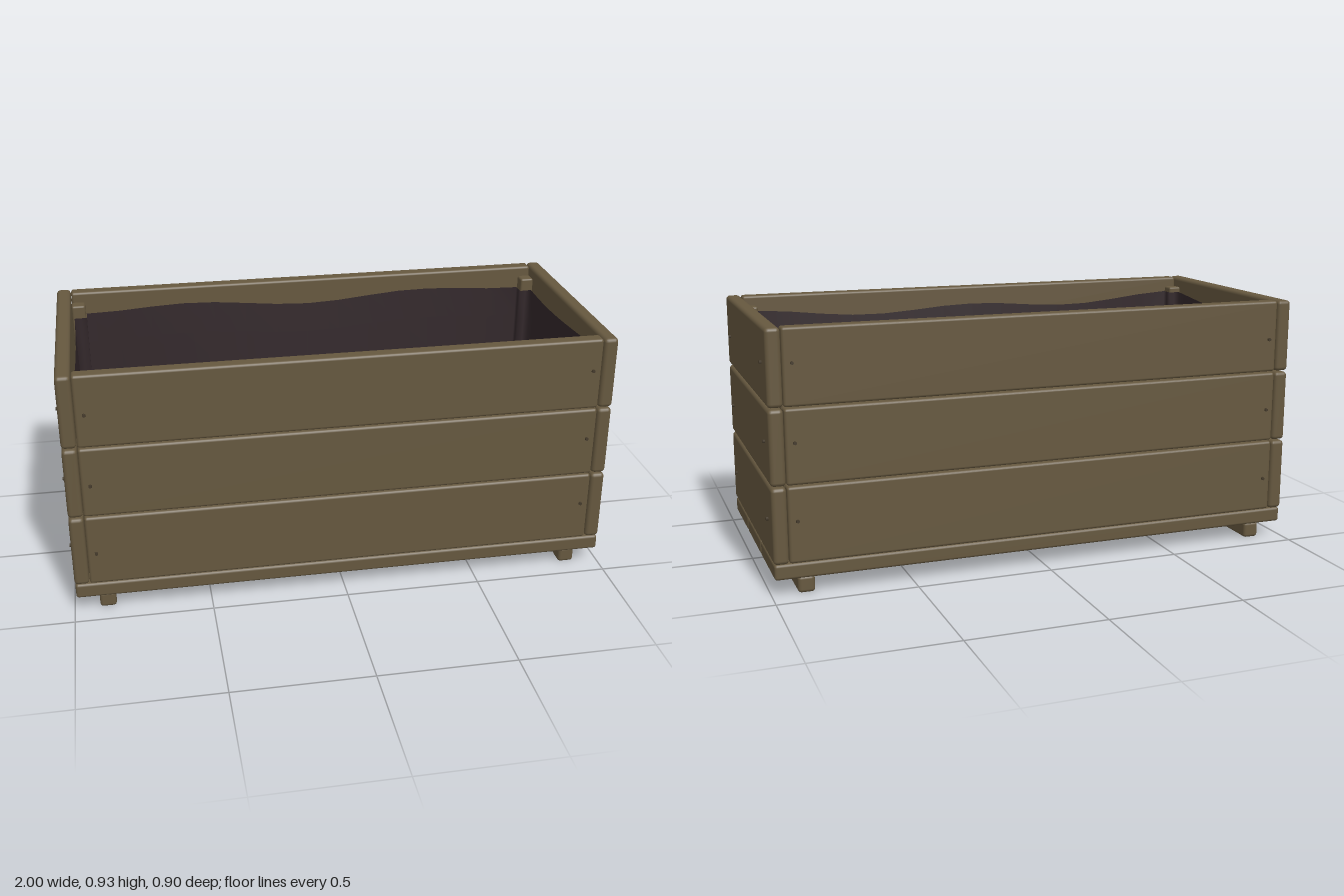
import * as THREE from 'three';
import { RoundedBoxGeometry } from 'three/addons/geometries/RoundedBoxGeometry.js';

export function createModel() {
  const group = new THREE.Group();
  const wood = new THREE.MeshStandardMaterial({ color: 0x66583f });
  wood.name = 'wood';
  const lining = new THREE.MeshStandardMaterial({ color: 0x32272a, side: THREE.DoubleSide });
  lining.name = 'lining';
  const metal = new THREE.MeshStandardMaterial({ color: 0x453b2c });
  metal.name = 'metal';

  // A plank given by its limits on each axis
  function plank(name, [x0, x1], [y0, y1], [z0, z1], radius = 0.01) {
    const geo = new RoundedBoxGeometry(x1 - x0, y1 - y0, z1 - z0, 2, radius);
    const mesh = new THREE.Mesh(geo, wood);
    mesh.name = name;
    mesh.position.set((x0 + x1) / 2, (y0 + y1) / 2, (z0 + z1) / 2);
    group.add(mesh);
  }

  // Small screw head, its axis along x or z
  const screwGeo = new THREE.CylinderGeometry(0.006, 0.007, 0.014, 6);
  function screw(x, y, z, axis) {
    const mesh = new THREE.Mesh(screwGeo, metal);
    mesh.name = 'screw';
    mesh.position.set(x, y, z);
    if (axis === 'x') mesh.rotation.z = -Math.sign(x) * Math.PI / 2;
    else mesh.rotation.x = Math.sign(z) * Math.PI / 2;
    group.add(mesh);
  }

  // Three courses of wall planks with their screws
  for (const [y0, y1] of [[0.117, 0.388], [0.393, 0.658], [0.663, 0.932]]) {
    const mid = (y0 + y1) / 2;
    plank('frontPlank', [-0.937, 0.937], [y0, y1], [0.388, 0.441]);
    plank('backPlank', [-0.937, 0.937], [y0, y1], [-0.441, -0.388]);
    plank('leftEndPlank', [0.939, 0.992], [y0, y1], [-0.444, 0.444], 0.014);
    plank('rightEndPlank', [-0.992, -0.939], [y0, y1], [-0.444, 0.444], 0.014);
    for (const sx of [-1, 1]) {
      for (const sz of [-1, 1]) {
        screw(sx * 0.993, mid + (sz > 0 ? -0.015 : 0.01), sz * 0.36, 'x');
        screw(sx * 0.905, mid + (sx > 0 ? 0.015 : -0.01), sz * 0.442, 'z');
      }
    }
  }

  // Floor planks, runners beneath and corner posts inside
  for (const [z0, z1] of [[-0.437, -0.151], [-0.139, 0.145], [0.157, 0.441]])
    plank('floorPlank', [-0.99, 0.99], [0.06, 0.116], [z0, z1]);
  for (const s of [-1, 1]) {
    plank('runner', [s * 0.878 - 0.03, s * 0.878 + 0.03], [0, 0.061], [-0.421, 0.421], 0.012);
    for (const t of [-1, 1])
      plank('cornerPost', [s * 0.912 - 0.026, s * 0.912 + 0.026], [0.11, 0.895],
        [t * 0.362 - 0.026, t * 0.362 + 0.026], 0.008);
  }

  // Draped lining: outline steps around the posts, sides sag inwards
  const X = 0.93, Z = 0.382, px = 0.883, pz = 0.333;
  const corners = [
    [X, pz], [px, pz], [px, Z], [-px, Z], [-px, pz], [-X, pz],
    [-X, -pz], [-px, -pz], [-px, -Z], [px, -Z], [px, -pz], [X, -pz],
  ];
  const outline = [];
  corners.forEach(([ax, az], i) => {
    const [bx, bz] = corners[(i + 1) % corners.length];
    const steps = i % 3 === 2 ? 14 : 2;
    for (let k = 0; k < steps; k++) {
      const t = k / steps;
      outline.push({ x: ax + (bx - ax) * t, z: az + (bz - az) * t,
        sag: steps > 2 ? Math.sin(Math.PI * t) : 0, alongX: Math.abs(bx - ax) > Math.abs(bz - az) });
    }
  });
  const n = outline.length, rings = 6, pos = [], index = [];
  for (let r = 0; r <= rings; r++) {
    const v = r / rings;
    outline.forEach((p) => {
      const top = 0.86 + 0.014 * Math.sin(p.x * 7 + p.z * 4) - 0.012 * p.sag;
      const sag = p.sag * (0.004 + 0.03 * (1 - v));
      pos.push(p.x - (p.alongX ? 0 : Math.sign(p.x) * sag), 0.122 + (top - 0.122) * v,
        p.z - (p.alongX ? Math.sign(p.z) * sag : 0));
    });
  }
  for (let r = 0; r < rings; r++) {
    for (let i = 0; i < n; i++) {
      const a = r * n + i, b = r * n + (i + 1) % n;
      index.push(a, b, a + n, b, b + n, a + n);
    }
  }
  const wallGeo = new THREE.BufferGeometry();
  wallGeo.setAttribute('position', new THREE.Float32BufferAttribute(pos, 3));
  wallGeo.setIndex(index);
  wallGeo.computeVertexNormals();
  const walls = new THREE.Mesh(wallGeo, lining);
  walls.name = 'liningWalls';
  group.add(walls);

  // Lining floor, cut to the lowest ring
  const floorShape = new THREE.Shape(
    outline.map((p, i) => new THREE.Vector2(pos[i * 3], -pos[i * 3 + 2])));
  const floor = new THREE.Mesh(new THREE.ShapeGeometry(floorShape), lining);
  floor.name = 'liningFloor';
  floor.rotation.x = -Math.PI / 2;
  floor.position.y = 0.122;
  group.add(floor);

  return group;
}
